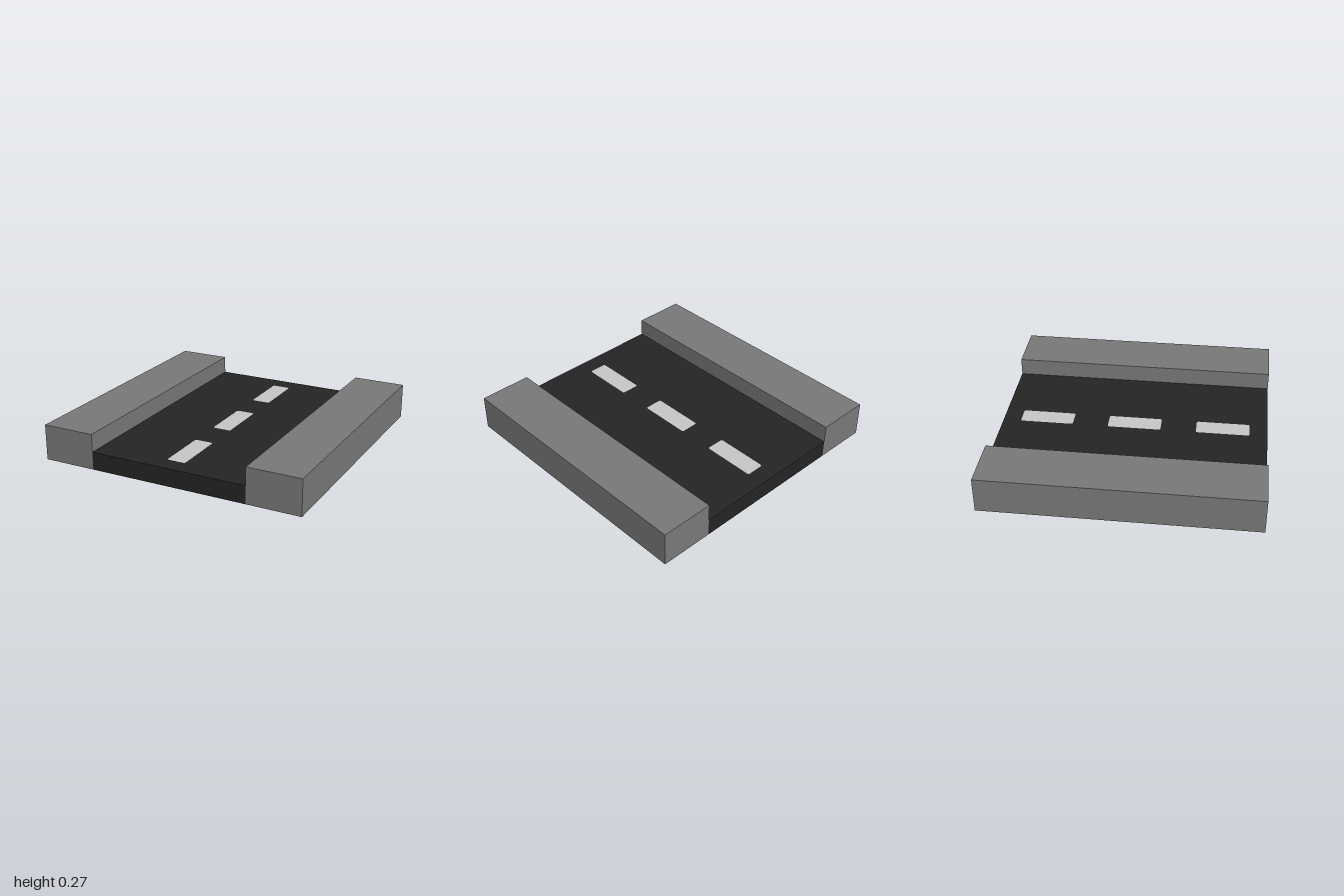
import * as THREE from 'three';

const material = (name, color) => {
  const m = new THREE.MeshStandardMaterial({ color });
  m.name = name;
  return m;
};

// Traces a rectangle with rounded corners around (0, cy)
function roundedRect(path, cy, w, h, r) {
  const x = w / 2, t = cy + h / 2, b = cy - h / 2;
  path.moveTo(-x + r, b);
  path.lineTo(x - r, b);
  path.quadraticCurveTo(x, b, x, b + r);
  path.lineTo(x, t - r);
  path.quadraticCurveTo(x, t, x - r, t);
  path.lineTo(-x + r, t);
  path.quadraticCurveTo(-x, t, -x, t - r);
  path.lineTo(-x, b + r);
  path.quadraticCurveTo(-x, b, -x + r, b);
  return path;
}

export function createModel() {
  const group = new THREE.Group();
  group.name = 'roadSection';
  const asphalt = material('asphalt', 0x242424);
  const concrete = material('concrete', 0x787878);
  const paint = material('lanePaint', 0xc6c6c6);

  const roadWidth = 1.2, roadHeight = 0.133, kerbWidth = 0.4, kerbHeight = 0.267;
  const dashCentres = [-0.667, 0, 0.667];
  const dash = (path, c) => roundedRect(path, c, 0.14, 0.4, 0.015);

  const addSlab = (name, shape, mat) => {
    const geo = new THREE.ExtrudeGeometry(shape, { depth: roadHeight, bevelEnabled: false, curveSegments: 4 });
    geo.rotateX(-Math.PI / 2);
    const mesh = new THREE.Mesh(geo, mat);
    mesh.name = name;
    group.add(mesh);
  };

  // Road bed with openings for the dashes, which show on both faces
  const w = roadWidth / 2;
  const road = new THREE.Shape();
  road.moveTo(-w, -1).lineTo(w, -1).lineTo(w, 1).lineTo(-w, 1).closePath();
  road.holes = dashCentres.map(c => dash(new THREE.Path(), c));
  addSlab('roadBed', road, asphalt);

  // Lane dashes set flush in the road
  dashCentres.forEach((c, i) => addSlab(`laneDash${i + 1}`, dash(new THREE.Shape(), c), paint));

  // Raised pavements on both sides
  for (const side of [-1, 1]) {
    const kerb = new THREE.Mesh(new THREE.BoxGeometry(kerbWidth, kerbHeight, 2), concrete);
    kerb.name = side > 0 ? 'leftPavement' : 'rightPavement';
    kerb.position.set(side * (w + kerbWidth / 2), kerbHeight / 2, 0);
    group.add(kerb);
  }
  return group;
}
